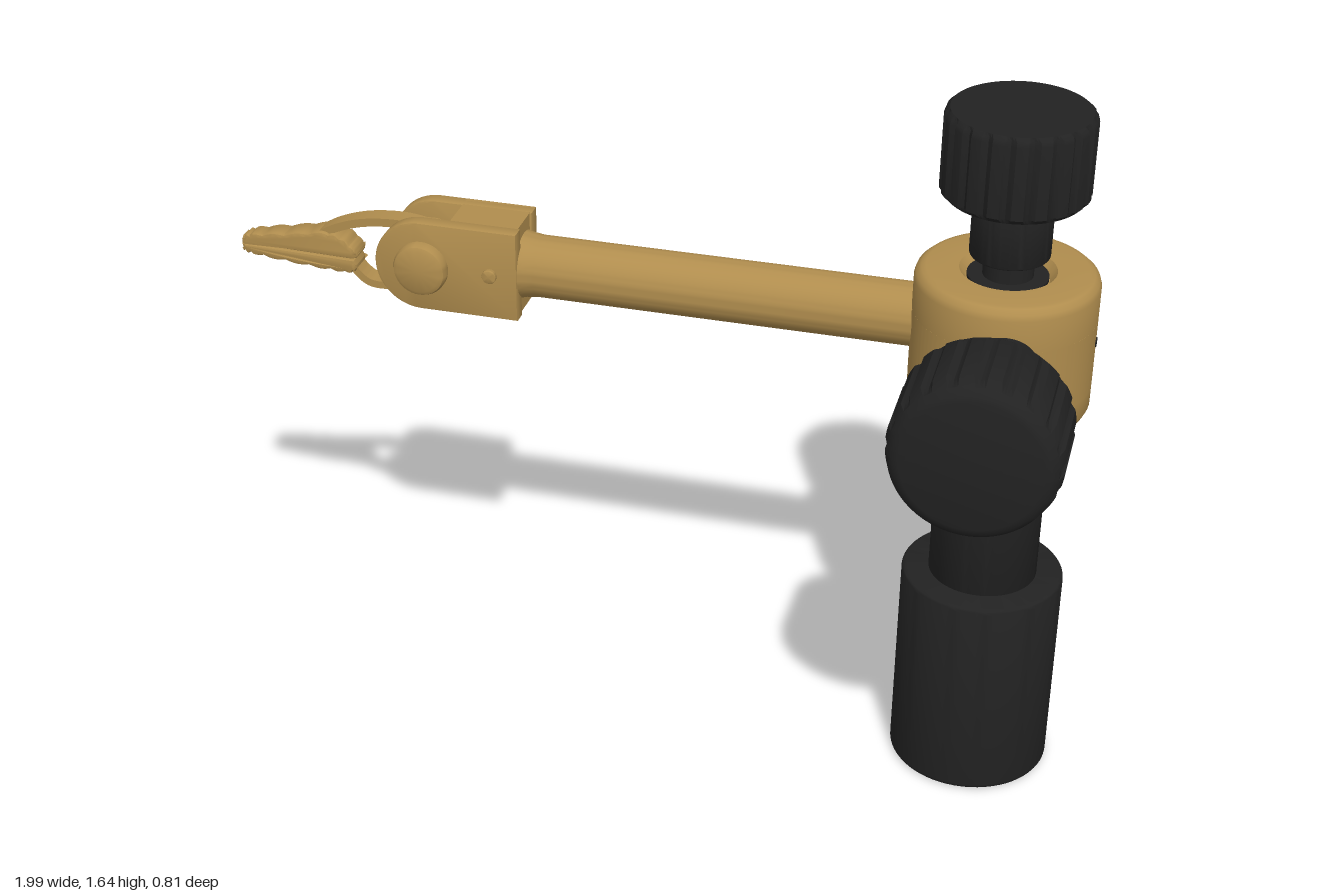
import * as THREE from 'three';
import { toCreasedNormals } from 'three/addons/utils/BufferGeometryUtils.js';

const brass = new THREE.MeshStandardMaterial({ color: 0xb08d4e });
brass.name = 'brass';
const black = new THREE.MeshStandardMaterial({ color: 0x222222 });
black.name = 'black plastic';

const POST_X = 0.782, POST_Z = -0.205;   // axis of the stand
const ARM_Y = 1.125, ARM_Z = -0.217;     // axis of the arm
const PIVOT_X = -0.535;                  // hinge of the clip

function add(group, name, geometry, material, x = 0, y = 0, z = 0) {
  const mesh = new THREE.Mesh(toCreasedNormals(geometry, 0.6), material);
  mesh.name = name;
  mesh.position.set(x, y, z);
  group.add(mesh);
  return mesh;
}

const lathe = (pts, segments = 64) =>
  new THREE.LatheGeometry(pts.map(([r, y]) => new THREE.Vector2(r, y)), segments);

// Cylinder with rounded rims, standing on y = 0
function roundedRod(r, h, e = 0.012, segments = 64) {
  const pts = [[0, 0]];
  for (let i = 0; i <= 4; i++) {
    const a = (i / 4) * Math.PI / 2;
    pts.push([r - e + e * Math.sin(a), e - e * Math.cos(a)]);
  }
  for (let i = 0; i <= 4; i++) {
    const a = (i / 4) * Math.PI / 2;
    pts.push([r - e + e * Math.cos(a), h - e + e * Math.sin(a)]);
  }
  pts.push([0, h]);
  return lathe(pts, segments);
}

// Flat shape pushed out along z, centred on z = 0, with a bevel inside its outline
function slab(shape, depth, bevel = 0.006) {
  const g = new THREE.ExtrudeGeometry(shape, {
    depth: depth - 2 * bevel, bevelEnabled: bevel > 0, bevelThickness: bevel,
    bevelSize: bevel, bevelOffset: -bevel, bevelSegments: 2, curveSegments: 24,
  });
  return g.translate(0, 0, -depth / 2 + bevel);
}

// Fluted knob along +y: a lathe whose side vertices dip in at each flute
function knob(r, profile, flutes) {
  const g = lathe(profile, flutes * 8);
  const p = g.attributes.position;
  for (let i = 0; i < p.count; i++) {
    const x = p.getX(i), z = p.getZ(i), d = Math.hypot(x, z);
    if (d < r * 0.96) continue;
    const c = Math.cos(flutes * Math.atan2(z, x));
    const k = 1 - 0.055 * Math.pow(Math.max(0, c), 1.5);
    p.setX(i, x * k);
    p.setZ(i, z * k);
  }
  return g;
}

// Bent flat strip following a path in the xy plane
function strap(path, thickness, width) {
  const curve = new THREE.CatmullRomCurve3(path.map(([x, y]) => new THREE.Vector3(x, y, 0)));
  const upper = [], lower = [];
  for (let i = 0; i <= 28; i++) {
    const p = curve.getPoint(i / 28), t = curve.getTangent(i / 28);
    const nx = -t.y * thickness / 2, ny = t.x * thickness / 2;
    upper.push(new THREE.Vector2(p.x + nx, p.y + ny));
    lower.unshift(new THREE.Vector2(p.x - nx, p.y - ny));
  }
  return slab(new THREE.Shape([...upper, ...lower]), width, 0);
}

// Jaw between a seam and an outer edge, scalloped outside and narrowing to the tip
function jaw(outer, seamY) {
  const pts = [];
  const edge = new THREE.CatmullRomCurve3(outer.map(([x, y]) => new THREE.Vector3(x, y, 0)));
  const sign = Math.sign(outer[2][1] - seamY);
  for (let i = 0; i <= 72; i++) {
    const t = i / 72, p = edge.getPoint(t);
    const bump = t > 0.12 && t < 0.88 ? 0.005 * Math.abs(Math.sin(t * Math.PI * 12)) : 0;
    pts.push(new THREE.Vector2(p.x, p.y + sign * bump));
  }
  const g = slab(new THREE.Shape(pts), 0.066, 0.008);
  const p = g.attributes.position;
  for (let i = 0; i < p.count; i++) {
    const s = THREE.MathUtils.clamp((p.getX(i) + 1) / 0.2, 0, 1);
    p.setZ(i, p.getZ(i) * (0.55 + 0.45 * Math.sqrt(s)));
  }
  return g;
}

function buildStand() {
  const g = new THREE.Group();
  g.name = 'stand';
  g.position.set(POST_X, 0, POST_Z);
  add(g, 'base', roundedRod(0.184, 0.505), black);
  add(g, 'post', roundedRod(0.123, 0.5, 0.005), black, 0, 0.46, 0);

  // Collar: rims above and below a middle band with two windows at the back
  add(g, 'collarLowerRim', lathe([[0, 0.945], [0.18, 0.945], [0.193, 0.95], [0.2, 0.965],
    [0.2, 1.01], [0, 1.01]]), brass);
  add(g, 'collarUpperRim', lathe([[0, 1.17], [0.2, 1.17], [0.2, 1.245], [0.196, 1.258],
    [0.185, 1.268], [0.175, 1.27], [0.105, 1.27], [0.09, 1.25], [0, 1.25]]), brass);
  const band = [];
  for (let i = 0; i < 180; i++) {
    const a = i * 2, off = Math.abs(a - 90);
    const r = off > 5 && off < 35 ? 0.145 : 0.2;
    band.push(new THREE.Vector2(r * Math.cos(a * Math.PI / 180), r * Math.sin(a * Math.PI / 180)));
  }
  add(g, 'collarBand', slab(new THREE.Shape(band), 0.162, 0).rotateX(-Math.PI / 2), brass, 0, 1.09, 0);
  add(g, 'setHole', new THREE.CylinderGeometry(0.011, 0.011, 0.006, 16).rotateZ(Math.PI / 2),
    black, 0.199, 1.12, 0);

  // Top screw
  add(g, 'topWasher', new THREE.CylinderGeometry(0.088, 0.088, 0.008, 48), black, 0, 1.254, 0);
  add(g, 'topScrew', new THREE.CylinderGeometry(0.055, 0.055, 0.08, 40), black, 0, 1.28, 0);
  add(g, 'topNeck', roundedRod(0.087, 0.16, 0.006), black, 0, 1.305, 0);
  add(g, 'topKnob', knob(0.16, [[0, 0], [0.148, 0], [0.16, 0.012], [0.16, 0.175],
    [0.157, 0.185], [0.148, 0.193], [0, 0.195]], 20), black, 0, 1.445, 0);
  return g;
}

function buildSideScrew() {
  const g = new THREE.Group();
  g.name = 'sideScrew';
  g.position.set(0.808, 1.136, 0);
  add(g, 'sideShaft', roundedRod(0.072, 0.3, 0.008).rotateX(Math.PI / 2), black, 0, 0, -0.12);
  add(g, 'sideKnob', knob(0.18, [[0, 0], [0.15, 0], [0.168, 0.012], [0.18, 0.035], [0.18, 0.195],
    [0.171, 0.225], [0.158, 0.24], [0.145, 0.244], [0, 0.244]], 20).rotateX(Math.PI / 2),
    black, 0, 0, 0.165);
  return g;
}

function buildArm() {
  const g = new THREE.Group();
  g.name = 'arm';
  g.position.set(0, ARM_Y, ARM_Z);
  // Rod with a small flare where it meets the fork
  add(g, 'rod', lathe([[0, -0.33], [0.078, -0.33], [0.078, -0.31], [0.074, -0.295], [0.071, -0.27],
    [0.071, 0.64], [0, 0.64]]).rotateZ(-Math.PI / 2), brass);

  // Fork: solid block and two round-ended cheeks
  const block = new THREE.Shape([[-0.47, -0.107], [-0.31, -0.107], [-0.31, 0.108], [-0.47, 0.108]]
    .map(([x, y]) => new THREE.Vector2(x, y)));
  add(g, 'forkBlock', slab(block, 0.15, 0), brass);
  const cheek = new THREE.Shape();
  cheek.moveTo(-0.305, -0.108);
  cheek.lineTo(-0.305, 0.108);
  cheek.lineTo(PIVOT_X, 0.108);
  cheek.absarc(PIVOT_X, 0, 0.108, Math.PI / 2, Math.PI * 1.5, false);
  cheek.closePath();
  for (const s of [1, -1]) {
    add(g, 'forkCheek', slab(cheek, 0.038, 0.004), brass, 0, 0, s * 0.06);
    // Rounded pin head and small rivet on each cheek
    const turn = s * Math.PI / 2;
    add(g, 'pinHead', lathe([[0, 0], [0.063, 0], [0.063, 0.018], [0.059, 0.027], [0.05, 0.032],
      [0, 0.034]], 40).rotateX(turn), brass, PIVOT_X + 0.005, 0, s * 0.076);
    add(g, 'rivet', roundedRod(0.017, 0.014, 0.004, 20).rotateX(turn), brass, -0.368, 0, s * 0.076);
  }
  add(g, 'hingePin', new THREE.CylinderGeometry(0.035, 0.035, 0.14, 32).rotateX(Math.PI / 2),
    brass, PIVOT_X, 0, 0);
  return g;
}

function buildClip() {
  const g = new THREE.Group();
  g.name = 'clip';
  g.position.z = ARM_Z;
  add(g, 'clipHub', new THREE.CylinderGeometry(0.075, 0.075, 0.05, 40).rotateX(Math.PI / 2),
    brass, PIVOT_X, ARM_Y, 0);
  // Spring arms from the hub to the jaws
  add(g, 'upperSpring', strap([[-0.82, 1.13], [-0.76, 1.165], [-0.69, 1.188], [-0.6, 1.196],
    [-0.52, 1.185]], 0.02, 0.046), brass);
  add(g, 'lowerSpring', strap([[-0.73, 1.085], [-0.708, 1.055], [-0.68, 1.036], [-0.62, 1.036],
    [-0.53, 1.055]], 0.018, 0.046), brass);
  // Closed jaws with teeth ridges
  add(g, 'upperJaw', jaw([[-1, 1.094], [-0.995, 1.108], [-0.97, 1.118], [-0.88, 1.134],
    [-0.78, 1.15], [-0.735, 1.135], [-0.708, 1.1], [-0.72, 1.094]], 1.094), brass);
  add(g, 'lowerJaw', jaw([[-1, 1.092], [-0.995, 1.078], [-0.97, 1.073], [-0.88, 1.067],
    [-0.78, 1.062], [-0.725, 1.062], [-0.71, 1.075], [-0.715, 1.092]], 1.092), brass);
  return g;
}

export function createModel() {
  const model = new THREE.Group();
  model.name = 'clampStand';
  model.add(buildStand(), buildSideScrew(), buildArm(), buildClip());
  return model;
}
